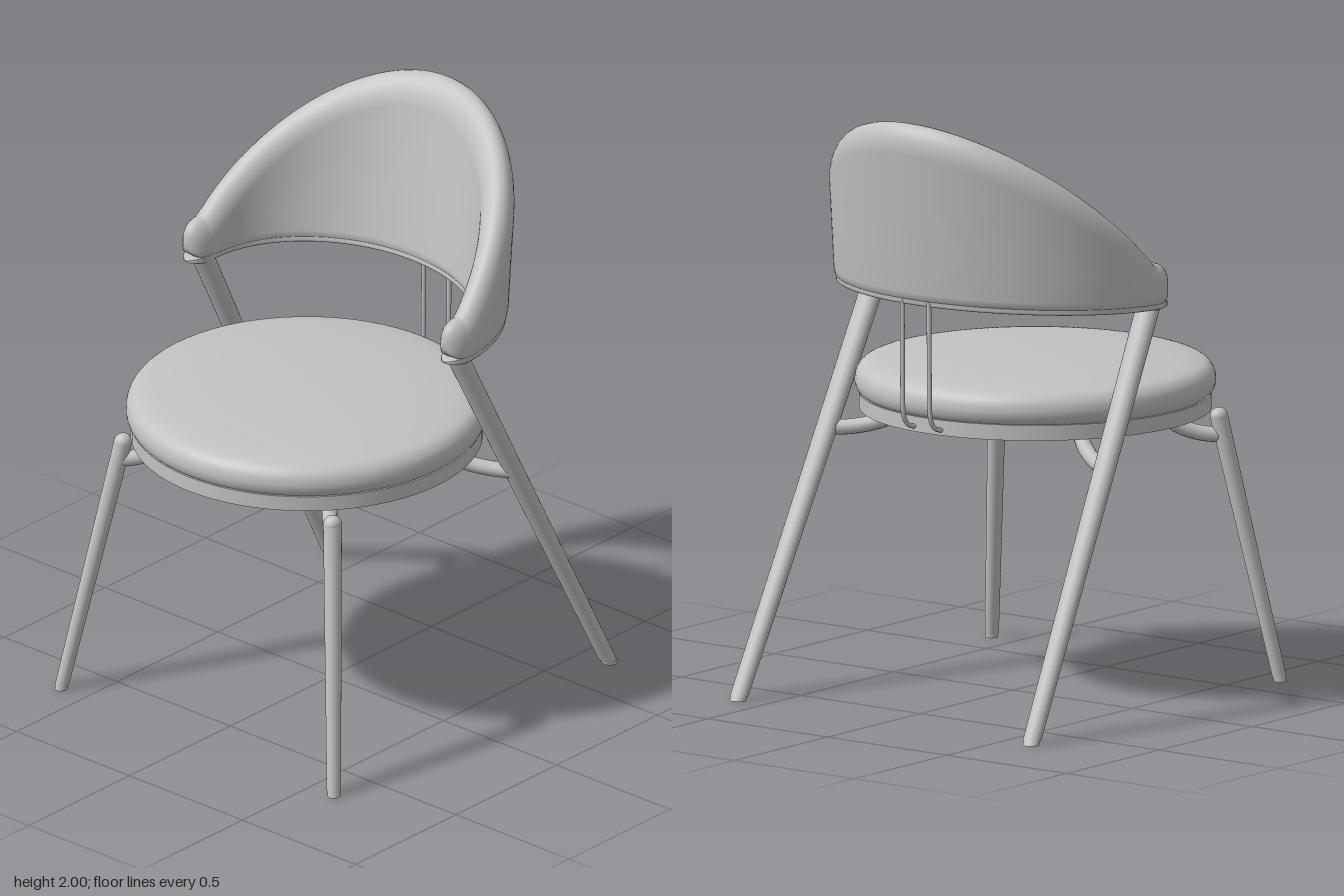
import * as THREE from 'three';

const grey = new THREE.MeshStandardMaterial({ color: 0xc2c2c2 });
grey.name = 'soft grey';

const mesh = (geometry, name) => {
  const m = new THREE.Mesh(geometry, grey);
  m.name = name;
  return m;
};

// Curved shell around the back: elliptical in plan, rounded section, rounded tips
function shellGeometry(topAt, bottomAt, inset, bevel, round) {
  const stations = [];
  const capSteps = 7, steps = 56;
  for (let i = 0; i < capSteps; i++) stations.push([-Math.PI / 2, Math.PI / 2 * (1 - i / capSteps)]);
  for (let i = 0; i <= steps; i++) stations.push([Math.PI * (i / steps - 0.5), 0]);
  for (let i = 1; i <= capSteps; i++) stations.push([Math.PI / 2, Math.PI / 2 * i / capSteps]);

  const pos = [], index = [];
  let count = 0;
  for (const [phi, cap] of stations) {
    const mid = -0.545 * Math.cos(phi);
    const yb = bottomAt(mid), yt = topAt(mid);
    const r = Math.min(round, (yt - yb) * 0.6), yr = yt - r;
    const section = [[0.82, yb], [0.95, yb + bevel * 0.3], [1, yb + bevel]];
    for (const k of [0.33, 0.66]) section.push([1, THREE.MathUtils.lerp(yb + bevel, yr, k)]);
    for (let k = 0; k <= 14; k++) {
      const a = Math.PI * k / 14;
      section.push([Math.cos(a), yr + r * Math.sin(a)]);
    }
    for (const k of [0.66, 0.33]) section.push([-1, THREE.MathUtils.lerp(yb + bevel, yr, k)]);
    section.push([-1, yb + bevel], [-0.95, yb + bevel * 0.3], [-0.82, yb]);
    count = section.length;

    const shrink = Math.max(Math.cos(cap), 0.001), yc = (yb + yt) / 2;
    for (const [u, y0] of section) {
      const y = yc + (y0 - yc) * shrink ** 0.7;
      const t = (1 + u * inset * shrink) / 2;
      const a = THREE.MathUtils.lerp(0.52, 0.622, t);
      const b = THREE.MathUtils.lerp(0.40 + 0.18 * (y - 1.4), 0.54 + 0.14 * (y - 1.4), t);
      pos.push(a * Math.sin(phi), y, -b * Math.cos(phi) + 0.077 * Math.sin(cap));
    }
  }
  for (let i = 0; i < stations.length - 1; i++) {
    for (let j = 0; j < count; j++) {
      const k = (j + 1) % count;
      const a = i * count + j, c = i * count + k, b = a + count, d = c + count;
      index.push(a, c, b, b, c, d);
    }
  }
  const g = new THREE.BufferGeometry();
  g.setAttribute('position', new THREE.Float32BufferAttribute(pos, 3));
  g.setIndex(index);
  g.computeVertexNormals();
  return g;
}

// Slanted tapered leg, cut level at both ends; radii are [x, z]
function legGeometry(top, bottom, rTop, rBottom) {
  const g = new THREE.CylinderGeometry(1, 1, 1, 24, 1);
  const p = g.attributes.position;
  for (let i = 0; i < p.count; i++) {
    const t = p.getY(i) + 0.5, mix = (a, b) => THREE.MathUtils.lerp(a, b, t);
    p.setXYZ(i,
      mix(bottom[0], top[0]) + p.getX(i) * mix(rBottom[0], rTop[0]),
      mix(bottom[1], top[1]),
      mix(bottom[2], top[2]) + p.getZ(i) * mix(rBottom[1], rTop[1]));
  }
  g.computeVertexNormals();
  return g;
}

// Quarter-arc arm from a leg up to the seat underside
function armGeometry(from, to) {
  const points = [];
  for (let i = 0; i <= 10; i++) {
    const a = Math.PI / 2 * i / 10;
    points.push(new THREE.Vector3(
      THREE.MathUtils.lerp(from[0], to[0], Math.sin(a)),
      THREE.MathUtils.lerp(to[1], from[1], Math.cos(a)),
      THREE.MathUtils.lerp(from[2], to[2], Math.sin(a))));
  }
  return new THREE.TubeGeometry(new THREE.CatmullRomCurve3(points), 20, 0.026, 12);
}

export function createModel() {
  const chair = new THREE.Group();
  chair.name = 'chair';

  // Seat
  const cushionCurve = new THREE.SplineCurve([
    [0.565, 0.985], [0.588, 1.0], [0.598, 1.035], [0.585, 1.075], [0.54, 1.1], [0.4, 1.118], [0.2, 1.127], [0, 1.13],
  ].map(([x, y]) => new THREE.Vector2(x, y)));
  const profile = [new THREE.Vector2(0, 0.985), ...cushionCurve.getPoints(36)];
  profile[profile.length - 1].x = 0;
  const cushion = mesh(new THREE.LatheGeometry(profile, 72), 'seatCushion');
  cushion.position.z = 0.12;
  const base = mesh(new THREE.CylinderGeometry(0.583, 0.583, 0.052, 72), 'seatBase');
  base.position.set(0, 0.964, 0.12);
  chair.add(cushion, base);

  // Backrest and the board under it
  const bottom = z => 1.372 - 0.04 * z;
  chair.add(
    mesh(shellGeometry(z => 1.51 - 0.9 * z, bottom, 1, 0.03, 0.1), 'backrest'),
    mesh(shellGeometry(z => bottom(z) + 0.012, z => bottom(z) - 0.014, 0.9, 0.004, 0.004), 'backrestBoard'));

  for (const [s, side] of [[1, 'left'], [-1, 'right']]) {
    // Back leg running up to the backrest
    chair.add(mesh(legGeometry([s * 0.562, 1.385, 0.015], [s * 0.613, 0.015, -0.686],
      [0.043, 0.037], [0.032, 0.028]), side + 'BackLeg'));
    chair.add(mesh(legGeometry([s * 0.613, 0.015, -0.686], [s * 0.614, 0, -0.693],
      [0.029, 0.026], [0.029, 0.026]), side + 'BackFoot'));

    // Front leg with a domed top
    const top = [s * 0.464, 0.9, 0.512];
    chair.add(mesh(legGeometry(top, [s * 0.602, 0.015, 0.66],
      [0.03, 0.032], [0.023, 0.024]), side + 'FrontLeg'));
    chair.add(mesh(legGeometry([s * 0.602, 0.015, 0.66], [s * 0.604, 0, 0.662],
      [0.021, 0.022], [0.021, 0.022]), side + 'FrontFoot'));
    const dome = mesh(new THREE.SphereGeometry(1, 24, 8, 0, Math.PI * 2, 0, Math.PI / 2), side + 'FrontLegTop');
    dome.scale.set(0.03, 0.03, 0.032);
    dome.position.set(...top);
    chair.add(dome);

    // Seat support arms
    chair.add(mesh(armGeometry([s * 0.47, 0.838, 0.52], [s * 0.33, 0.945, 0.38]), side + 'FrontArm'));
    chair.add(mesh(armGeometry([s * 0.58, 0.855, -0.25], [s * 0.37, 0.945, -0.115]), side + 'BackArm'));

    // Thin rod between seat and backrest
    const rod = new THREE.CurvePath();
    const v = (y, z) => new THREE.Vector3(s * 0.056, y, z);
    rod.add(new THREE.LineCurve3(v(1.4, -0.525), v(1.05, -0.522)));
    rod.add(new THREE.CubicBezierCurve3(v(1.05, -0.522), v(0.98, -0.522), v(0.955, -0.5), v(0.955, -0.44)));
    chair.add(mesh(new THREE.TubeGeometry(rod, 40, 0.008, 10), side + 'BackRod'));
  }
  return chair;
}
